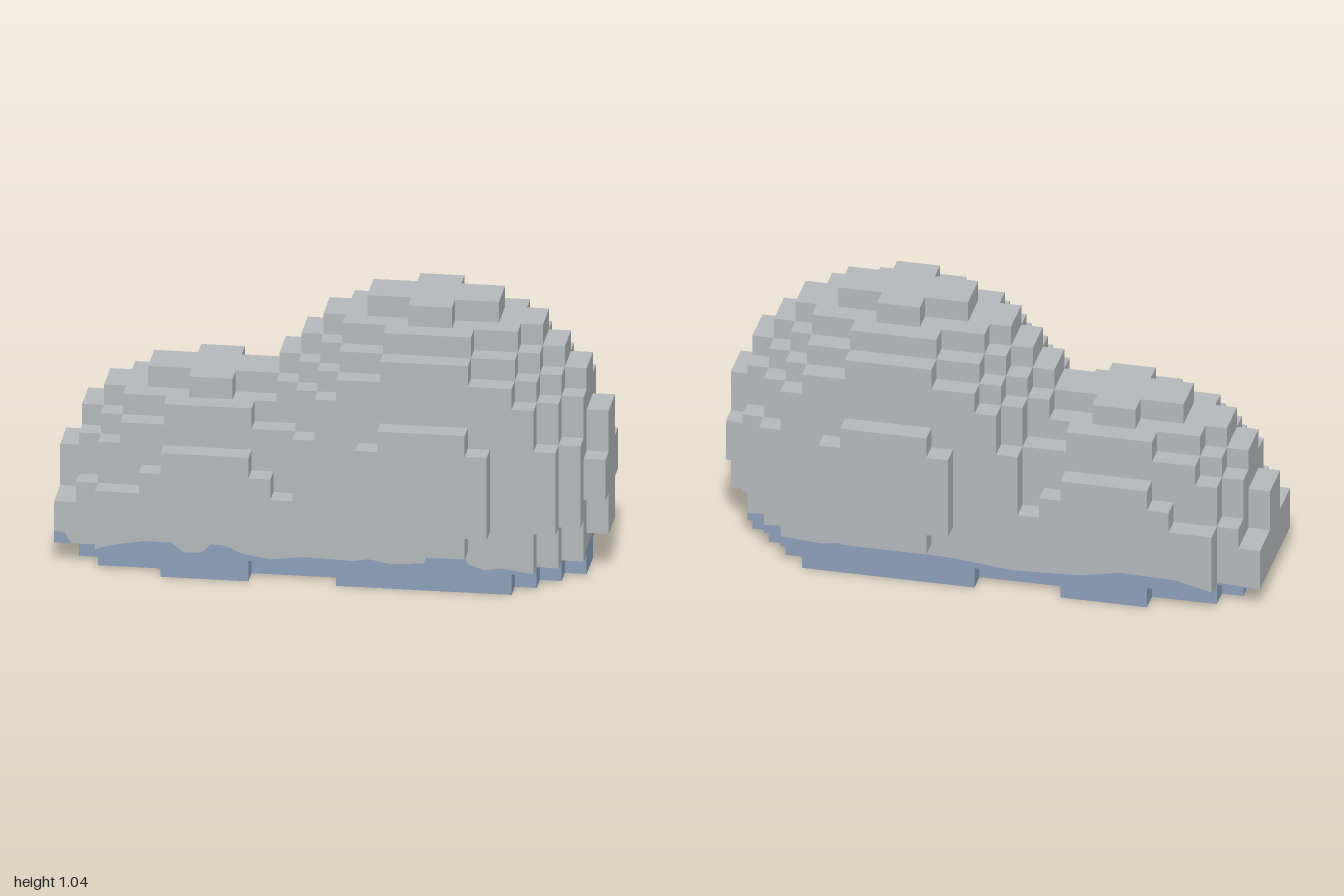
import * as THREE from 'three';

const S = 0.08;                      // block size
const NX = 25, NY = 13, NZ = 10;     // block counts

// Two blocky domes: centre and radii in blocks
const domes = [
  { c: [17, 5, 5], r: [8, 8, 5] },
  { c: [7, 3, 5], r: [7, 6, 4] },
];

function inDome({ c, r }, p) {
  return p.reduce((sum, v, a) => sum + ((v + 0.5 - c[a]) / r[a]) ** 2, 0) <= 1;
}

// Low ledge around the small dome, running into the large one
function inLedge([i, j, k]) {
  if (i > 12 || j < 1 || j > (i === 0 ? 2 : 3)) return false;
  return Math.abs(k - 4.5) <= (i < 2 ? 2.5 : 3.5);
}

function solid(p) {
  const [i, j, k] = p;
  if (i < 0 || j < 0 || k < 0 || i >= NX || j >= NY || k >= NZ) return false;
  return domes.some((d) => inDome(d, p)) || inLedge(p);
}

// Height of the damp line along the front and the back, as [x, y] points
const frontLine = [[-1, 0.125], [-0.96, 0.12], [-0.94, 0.08], [-0.85, 0.08], [-0.83, 0.1], [-0.75, 0.12],
  [-0.66, 0.135], [-0.56, 0.135], [-0.52, 0.1], [-0.45, 0.1], [-0.42, 0.135], [-0.37, 0.135], [-0.3, 0.105],
  [-0.2, 0.09], [-0.08, 0.105], [0.1, 0.1], [0.16, 0.11], [0.24, 0.095], [0.36, 0.105], [0.38, 0.16],
  [0.5, 0.16], [0.52, 0.11], [0.58, 0.09], [0.64, 0.1], [0.72, 0.09], [0.8, 0.08], [1, 0.08]];
const backLine = [[-1, 0.08], [-0.85, 0.09], [-0.7, 0.125], [-0.5, 0.13], [-0.35, 0.1], [-0.1, 0.09],
  [0.1, 0.11], [0.3, 0.12], [0.45, 0.14], [0.6, 0.11], [0.75, 0.12], [0.9, 0.11], [1, 0.1]];

function lineHeight(line, x) {
  for (let n = 1; n < line.length; n++) {
    const [x0, y0] = line[n - 1], [x1, y1] = line[n];
    if (x <= x1) return y0 + (y1 - y0) * Math.max(0, (x - x0) / (x1 - x0));
  }
  return line[line.length - 1][1];
}

function dampHeight(x, z, axis, sign) {
  if (axis === 2) return lineHeight(sign > 0 ? frontLine : backLine, x);
  return sign > 0 && Math.abs(z) < 0.081 ? 0.1 : 0.08;
}

// Quad a-b-c-d, wound to face along the given axis and sign
function pushQuad(list, a, b, c, d, flip) {
  const q = flip ? [a, d, c, a, c, b] : [a, b, c, a, c, d];
  for (const p of q) list.push(...p);
}

function buildFaces() {
  const stone = [], damp = [];
  const world = (p) => [p[0] * S - 1, p[1] * S, p[2] * S - 0.4];

  function addFace(p, axis, sign) {
    const u = (axis + 1) % 3, v = (axis + 2) % 3;
    const corner = (du, dv) => {
      const q = [...p];
      if (sign > 0) q[axis] += 1;
      q[u] += du;
      q[v] += dv;
      return world(q);
    };
    const sideOfSecondRow = p[1] === 1 && axis !== 1;
    if (!sideOfSecondRow) {
      pushQuad(p[1] === 0 ? damp : stone, corner(0, 0), corner(1, 0), corner(1, 1), corner(0, 1), sign < 0);
      return;
    }
    // Cut the face along the wavy damp line in narrow strips
    const strips = axis === 2 ? 4 : 1;
    for (let s = 0; s < strips; s++) {
      const ends = [s / strips, (s + 1) / strips].map((t) => {
        const e = axis === 2 ? corner(t, 0) : corner(0, t);
        const h = dampHeight(e[0], e[2], axis, sign);
        return [S, h, 2 * S].map((y) => [e[0], y, e[2]]);
      });
      const flip = (axis === 2) === (sign < 0);
      const [l, r] = ends;
      if (l[1][1] > S || r[1][1] > S) pushQuad(damp, l[0], r[0], r[1], l[1], flip);
      if (l[1][1] < 2 * S || r[1][1] < 2 * S) pushQuad(stone, l[1], r[1], r[2], l[2], flip);
    }
  }

  for (let i = 0; i < NX; i++) for (let j = 0; j < NY; j++) for (let k = 0; k < NZ; k++) {
    const p = [i, j, k];
    if (!solid(p)) continue;
    for (let axis = 0; axis < 3; axis++) for (const sign of [-1, 1]) {
      const n = [...p];
      n[axis] += sign;
      if (!solid(n)) addFace(p, axis, sign);
    }
  }
  return { stone, damp };
}

function makeMesh(name, positions, material) {
  const geometry = new THREE.BufferGeometry();
  geometry.setAttribute('position', new THREE.Float32BufferAttribute(positions, 3));
  geometry.computeVertexNormals();
  const mesh = new THREE.Mesh(geometry, material);
  mesh.name = name;
  return mesh;
}

export function createModel() {
  const grey = new THREE.MeshStandardMaterial({ color: 0xb4b8ba });
  grey.name = 'stone grey';
  const blue = new THREE.MeshStandardMaterial({ color: 0x8c9eb9 });
  blue.name = 'damp blue';

  const { stone, damp } = buildFaces();
  const group = new THREE.Group();
  group.name = 'boulder';
  group.add(makeMesh('stoneBody', stone, grey), makeMesh('dampBase', damp, blue));
  return group;
}
